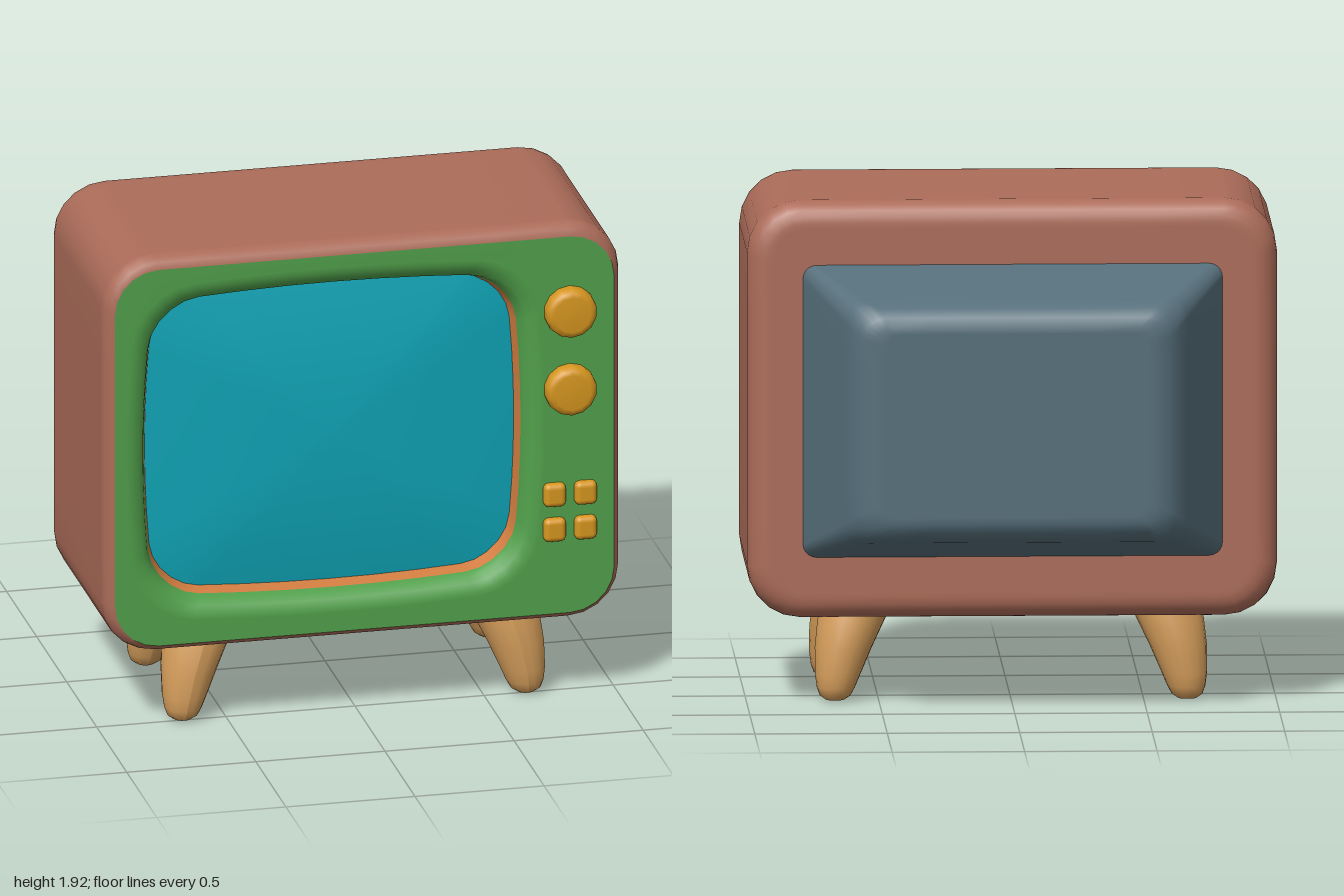
import * as THREE from 'three';
import { RoundedBoxGeometry } from 'three/addons/geometries/RoundedBoxGeometry.js';

const mat = (name, color) => {
  const m = new THREE.MeshStandardMaterial({ color });
  m.name = name;
  return m;
};

// Rounded rectangle ring, counter-clockwise seen from +z; bulge bows its sides outward
function ring(cx, cy, hw, hh, r, z, bulge = 0) {
  const base = [];
  const steps = 5, edge = 6;
  [[1, 1], [-1, 1], [-1, -1], [1, -1]].forEach(([sx, sy], k) => {
    for (let i = 0; i <= steps; i++) {
      const a = (k + i / steps) * Math.PI / 2;
      base.push([sx * (hw - r) + r * Math.cos(a), sy * (hh - r) + r * Math.sin(a)]);
    }
  });
  const pts = [];
  base.forEach((p, i) => {
    const q = base[(i + 1) % base.length];
    const n = i % (steps + 1) === steps ? edge : 1;
    for (let j = 0; j < n; j++) {
      const x = p[0] + (q[0] - p[0]) * j / n, y = p[1] + (q[1] - p[1]) * j / n;
      const bx = hw ? 1 - bulge * (y / hh) ** 2 : 1;
      const by = hh ? 1 - bulge * (x / hw) ** 2 : 1;
      pts.push([cx + x * bx, cy + y * by, z]);
    }
  });
  return pts;
}

// Smooth skin through a list of rings
function loft(rings) {
  const n = rings[0].length, index = [];
  for (let i = 0; i < rings.length - 1; i++) {
    for (let j = 0; j < n; j++) {
      const a = i * n + j, b = i * n + (j + 1) % n;
      index.push(a, b, b + n, a, b + n, a + n);
    }
  }
  const g = new THREE.BufferGeometry();
  g.setAttribute('position', new THREE.Float32BufferAttribute(rings.flat(2), 3));
  g.setIndex(index);
  g.computeVertexNormals();
  return g;
}

export function createModel() {
  const root = new THREE.Group();
  root.name = 'television';
  const brown = mat('cabinet brown', 0xac6c59);
  const green = mat('panel green', 0x51a04b);
  const teal = mat('screen teal', 0x0fa4b6);
  const orange = mat('bezel orange', 0xd07c40);
  const amber = mat('knob amber', 0xd6961f);
  const slate = mat('back slate', 0x566f7b);
  const wood = mat('leg wood', 0xd39c5a);

  const add = (name, geo, material, x = 0, y = 0, z = 0) => {
    const m = new THREE.Mesh(geo, material);
    m.name = name;
    m.position.set(x, y, z);
    root.add(m);
    return m;
  };

  // Cabinet: rounded back edge, straight sides, small front rounding
  const bodyRing = (inset, z) => ring(0, 1.125, 1 - inset, 0.795 - inset, 0.2 - inset * 0.8, z);
  const panelEdge = ring(0.006, 1.115, 0.966, 0.757, 0.17, 0.635);
  const body = [ring(0, 1.125, 0, 0, 0, -0.287), bodyRing(0.1, -0.287)];
  for (let i = 0; i <= 5; i++) {
    const a = i / 5 * Math.PI / 2;
    body.push(bodyRing(0.08 * (1 - Math.sin(a)), -0.207 - 0.08 * Math.cos(a)));
  }
  body.push(bodyRing(0, -0.19), bodyRing(0, 0.57), bodyRing(0, 0.585),
    bodyRing(0.007, 0.61), bodyRing(0.022, 0.628), panelEdge);
  add('cabinet', loft(body), brown);

  // Front panel curving in towards the screen
  const screenRing = (grow, z) =>
    ring(-0.105, 1.13, 0.715 + grow, 0.6 + grow, 0.18 + grow * 0.5, z, 0.05);
  add('frontPanel', loft([panelEdge, screenRing(0.095, 0.635), screenRing(0.075, 0.634),
    screenRing(0.045, 0.622), screenRing(0.025, 0.6), screenRing(0.015, 0.57)]), green);

  // Bezel
  add('screenBezel', loft([screenRing(0.015, 0.57), screenRing(0, 0.52)]), orange);

  // Gently domed screen
  const dome = [1, 0.85, 0.65, 0.45, 0.2, 0].map((s) =>
    ring(-0.105, 1.13, 0.715 * s, 0.6 * s, 0.18 * s, 0.52 + 0.05 * (1 - s * s), 0.05));
  add('screen', loft(dome), teal);

  // Tapered rear housing
  add('rearHousing', loft([
    ring(0, 1.125, 0, 0, 0, -0.695),
    ring(0, 1.125, 0.49, 0.35, 0.05, -0.695),
    ring(0, 1.125, 0.53, 0.375, 0.06, -0.695),
    ring(0, 1.125, 0.575, 0.41, 0.08, -0.682),
    ring(0, 1.125, 0.61, 0.44, 0.09, -0.65),
    ring(0, 1.125, 0.635, 0.457, 0.08, -0.61),
    ring(0, 1.125, 0.65, 0.465, 0.075, -0.58),
    ring(0, 1.125, 0.80, 0.562, 0.05, -0.27),
  ]), slate);

  // Dials
  const dialProfile = [[0.1, 0], [0.1, 0.03], [0.097, 0.045], [0.087, 0.058], [0.07, 0.065], [0, 0.066]]
    .map(([x, y]) => new THREE.Vector2(x, y));
  const dial = new THREE.LatheGeometry(dialProfile, 14).rotateX(Math.PI / 2);
  add('upperDial', dial, amber, 0.8, 1.575, 0.628);
  add('lowerDial', dial, amber, 0.8, 1.262, 0.628);

  // Push buttons
  const button = new RoundedBoxGeometry(0.086, 0.094, 0.07, 3, 0.022);
  for (const x of [0.74, 0.86]) {
    for (const y of [0.84, 0.7]) add('pushButton', button, amber, x, y, 0.63);
  }

  // Legs: rounded tapered pegs curving inwards at the top
  const legProfile = [[0, 0], [0.035, 0.004], [0.058, 0.02], [0.072, 0.05], [0.086, 0.1],
    [0.108, 0.2], [0.127, 0.3], [0.138, 0.4]].map(([x, y]) => new THREE.Vector2(x, y));
  for (const sx of [1, -1]) {
    for (const sz of [1, -1]) {
      const g = new THREE.LatheGeometry(legProfile, 20);
      const p = g.attributes.position;
      for (let i = 0; i < p.count; i++) {
        const t = (p.getY(i) / 0.33) ** 1.6;
        p.setX(i, p.getX(i) - sx * 0.073 * t);
        p.setZ(i, p.getZ(i) - sz * 0.065 * t);
      }
      g.computeVertexNormals();
      add(sz > 0 ? 'frontLeg' : 'rearLeg', g, wood, sx * 0.665, 0, 0.178 + sz * 0.306);
    }
  }
  return root;
}
